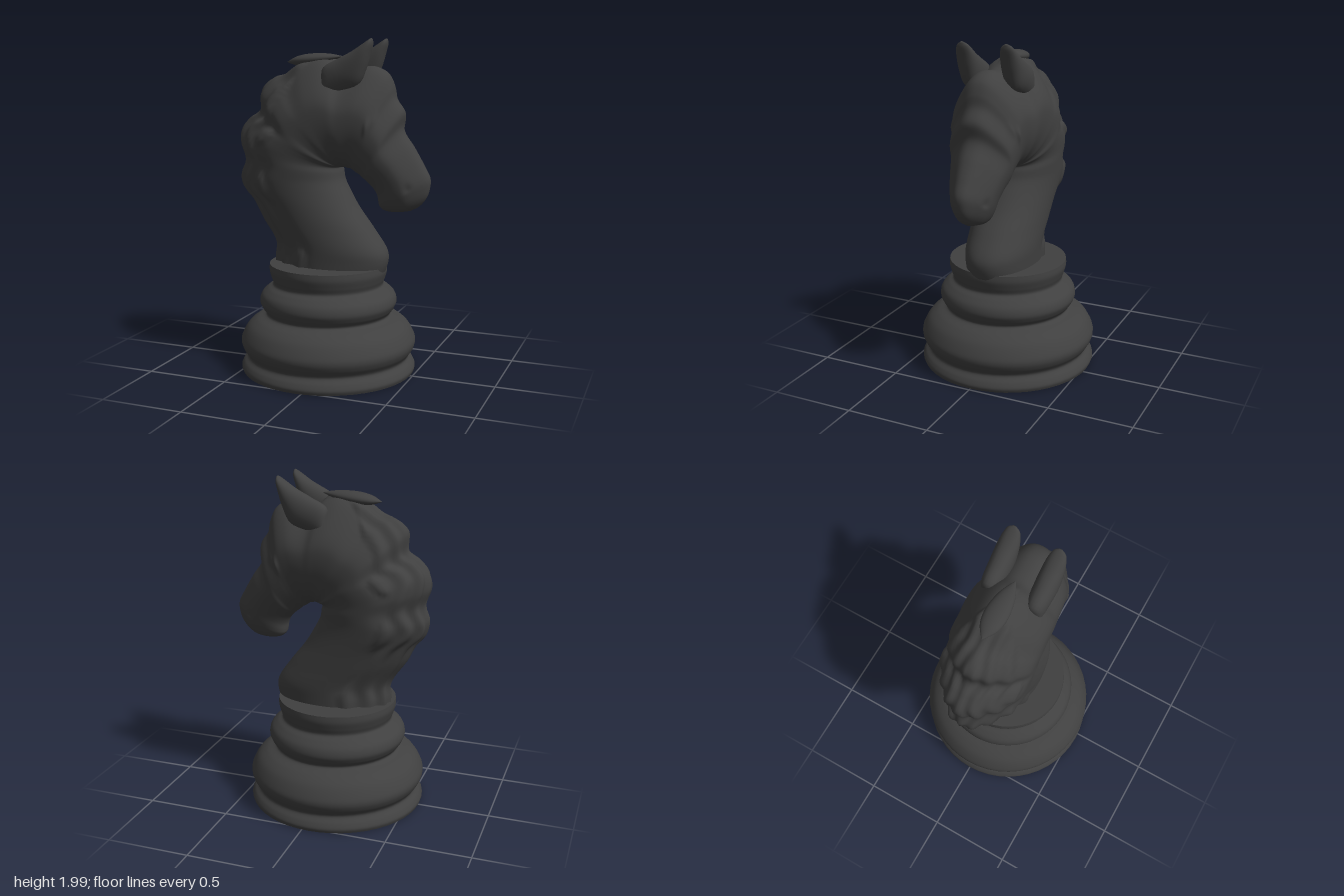
import * as THREE from 'three';

const black = new THREE.MeshStandardMaterial({ color: 0x404040 });
black.name = 'charcoal';

const smooth = THREE.MathUtils.smoothstep;

function add(group, name, geometry) {
  const mesh = new THREE.Mesh(geometry, black);
  mesh.name = name;
  group.add(mesh);
  return mesh;
}

// Skin rings through stations [lowerX, lowerY, upperX, upperY, halfWidth].
// bump(u, theta) pushes the surface outward, pinch narrows the upper side.
function loft(stations, rings, sides, pinch = 0, bump = () => 0) {
  const curve = (f) => new THREE.CatmullRomCurve3(stations.map(f));
  const low = curve((s) => new THREE.Vector3(s[0], s[1], s[4]));
  const high = curve((s) => new THREE.Vector3(s[2], s[3], s[4]));
  const pos = [], index = [];
  for (let i = 0; i <= rings; i++) {
    const u = i / rings;
    const a = low.getPoint(u), b = high.getPoint(u);
    const w = (a.z + b.z) / 2;
    const dx = b.x - a.x, dy = b.y - a.y, len = Math.hypot(dx, dy);
    for (let j = 0; j < sides; j++) {
      const t = (j / sides) * Math.PI * 2;
      const d = bump(u, t);
      const along = -Math.cos(t) * (len / 2 + d) / len;
      const sn = Math.sin(t);
      const narrow = 1 - pinch * smooth(-Math.cos(t), 0.1, 1);
      const z = Math.sign(sn) * Math.pow(Math.abs(sn), 0.9) * (w * narrow + d);
      pos.push((a.x + b.x) / 2 + dx * along, (a.y + b.y) / 2 + dy * along, z);
    }
  }
  for (let i = 0; i < rings; i++) {
    for (let j = 0; j < sides; j++) {
      const k = (j + 1) % sides;
      const p = i * sides + j, q = i * sides + k;
      index.push(p, p + sides, q, q, p + sides, q + sides);
    }
  }
  // Close the far end
  const end = stations[stations.length - 1];
  pos.push((end[0] + end[2]) / 2, (end[1] + end[3]) / 2, 0);
  const tip = pos.length / 3 - 1;
  for (let j = 0; j < sides; j++) {
    index.push(rings * sides + j, tip, rings * sides + ((j + 1) % sides));
  }
  const g = new THREE.BufferGeometry();
  g.setAttribute('position', new THREE.Float32BufferAttribute(pos, 3));
  g.setIndex(index);
  g.computeVertexNormals();
  return g;
}

function lathe(points, steps) {
  const v = points.map(([x, y]) => new THREE.Vector2(x, y));
  return new THREE.LatheGeometry(steps ? new THREE.SplineCurve(v).getPoints(steps) : v, 48);
}

// Turned pedestal with soft grooves between its mouldings
function buildBase(group) {
  const base = new THREE.Group();
  base.name = 'base';
  base.position.x = -0.04;
  add(base, 'underside', lathe([[0, 0.005], [0.525, 0.005]]));
  add(base, 'mouldings', lathe([
    [0.525, 0.005], [0.532, 0.03], [0.518, 0.06], [0.491, 0.095],
    [0.518, 0.14], [0.532, 0.18], [0.525, 0.22], [0.49, 0.28], [0.44, 0.32], [0.378, 0.35],
    [0.4, 0.39], [0.416, 0.43], [0.405, 0.475], [0.37, 0.51], [0.335, 0.535],
    [0.345, 0.575], [0.357, 0.62], [0.355, 0.66],
  ], 100));
  add(base, 'collarTop', lathe([[0.355, 0.66], [0, 0.66]]));
  group.add(base);
}

// Neck, mane and head as one skin bending around the throat
const neckStations = [
  [0.29, 0.56, -0.36, 0.56, 0.2],
  [0.335, 0.69, -0.365, 0.68, 0.205],
  [0.33, 0.75, -0.36, 0.78, 0.21],
  [0.25, 0.87, -0.455, 0.93, 0.217],
  [0.15, 1.0, -0.505, 1.03, 0.225],
  [0.09, 1.1, -0.57, 1.11, 0.234],
  [0.055, 1.17, -0.585, 1.18, 0.241],
  [0.045, 1.22, -0.555, 1.28, 0.246],
  [0.04, 1.245, -0.585, 1.38, 0.25],
  [0.045, 1.25, -0.575, 1.46, 0.253],
  [0.05, 1.25, -0.515, 1.53, 0.254],
  [0.055, 1.25, -0.45, 1.58, 0.254],
  [0.06, 1.25, -0.445, 1.69, 0.254],
];
const headStations = [
  [0.065, 1.25, -0.375, 1.755, 0.253],
  [0.07, 1.25, -0.295, 1.785, 0.252],
  [0.075, 1.25, -0.195, 1.855, 0.25],
  [0.08, 1.25, -0.08, 1.885, 0.247],
  [0.09, 1.25, 0.01, 1.87, 0.243],
  [0.1, 1.245, 0.09, 1.83, 0.235],
  [0.11, 1.245, 0.25, 1.84, 0.225],
  [0.13, 1.235, 0.33, 1.8, 0.216],
  [0.15, 1.22, 0.365, 1.73, 0.208],
  [0.17, 1.21, 0.38, 1.66, 0.202],
  [0.2, 1.185, 0.43, 1.58, 0.193],
  [0.22, 1.17, 0.425, 1.48, 0.183],
  [0.26, 1.13, 0.49, 1.38, 0.16],
  [0.28, 1.09, 0.55, 1.28, 0.14],
  [0.285, 1.05, 0.59, 1.2, 0.125],
  [0.29, 1.03, 0.587, 1.14, 0.112],
  [0.31, 1.01, 0.57, 1.09, 0.095],
  [0.35, 1.0, 0.53, 1.04, 0.07],
  [0.39, 1.0, 0.48, 1.01, 0.03],
];

// Eye and nostril relief: [u, angle from the upper edge, height]
const reliefs = [[0.677, 1.47, 0.01], [0.7, 1.2, 0.007], [0.87, 1.25, -0.008]];

// Wavy locks along the back of the neck, narrowing to a point at the poll
function horseBump(u, theta) {
  const t = Math.abs(Math.PI - theta);
  const wave = Math.sin(u * 45);
  const edge = 1.22 + 0.1 * wave - 1.05 * smooth(u, 0.36, 0.56);
  const mane = (1 - smooth(t, edge - 0.1, edge)) * (1 - smooth(u, 0.54, 0.57));
  let d = mane * (0.01 + 0.009 * Math.cos(t * 15 + 1.2 * wave));
  for (const [ru, rt, h] of reliefs) {
    d += h * Math.exp(-(((u - ru) / 0.013) ** 2) - ((t - rt) / 0.13) ** 2);
  }
  return d;
}

// Ear leaning forward to a rounded tip
const earStations = [
  [0.0, 1.67, -0.02, 1.74, 0.045],
  [0.1, 1.695, -0.018, 1.83, 0.057],
  [0.2, 1.74, 0.075, 1.885, 0.064],
  [0.243, 1.83, 0.165, 1.93, 0.061],
  [0.267, 1.91, 0.222, 1.966, 0.051],
  [0.281, 1.965, 0.258, 1.99, 0.034],
  [0.281, 1.993, 0.272, 1.999, 0.01],
];

export function createModel() {
  const model = new THREE.Group();
  model.name = 'knightPiece';
  buildBase(model);
  add(model, 'horseNeckAndHead', loft([...neckStations, ...headStations], 220, 96, 0.27, horseBump));

  // Pointed end of the mane between the ears
  const tuft = add(model, 'forelock', lathe([[0, -0.2], [0.05, -0.13], [0.065, -0.04], [0.045, 0.07], [0, 0.16]], 20));
  tuft.rotation.z = -Math.PI / 2 + 0.1;
  tuft.scale.x = 0.55;
  tuft.position.set(-0.105, 1.88, 0);

  for (const side of [1, -1]) {
    const ear = add(model, side > 0 ? 'frontEar' : 'backEar', loft(earStations, 28, 24));
    ear.position.z = side * 0.135;
  }
  return model;
}
